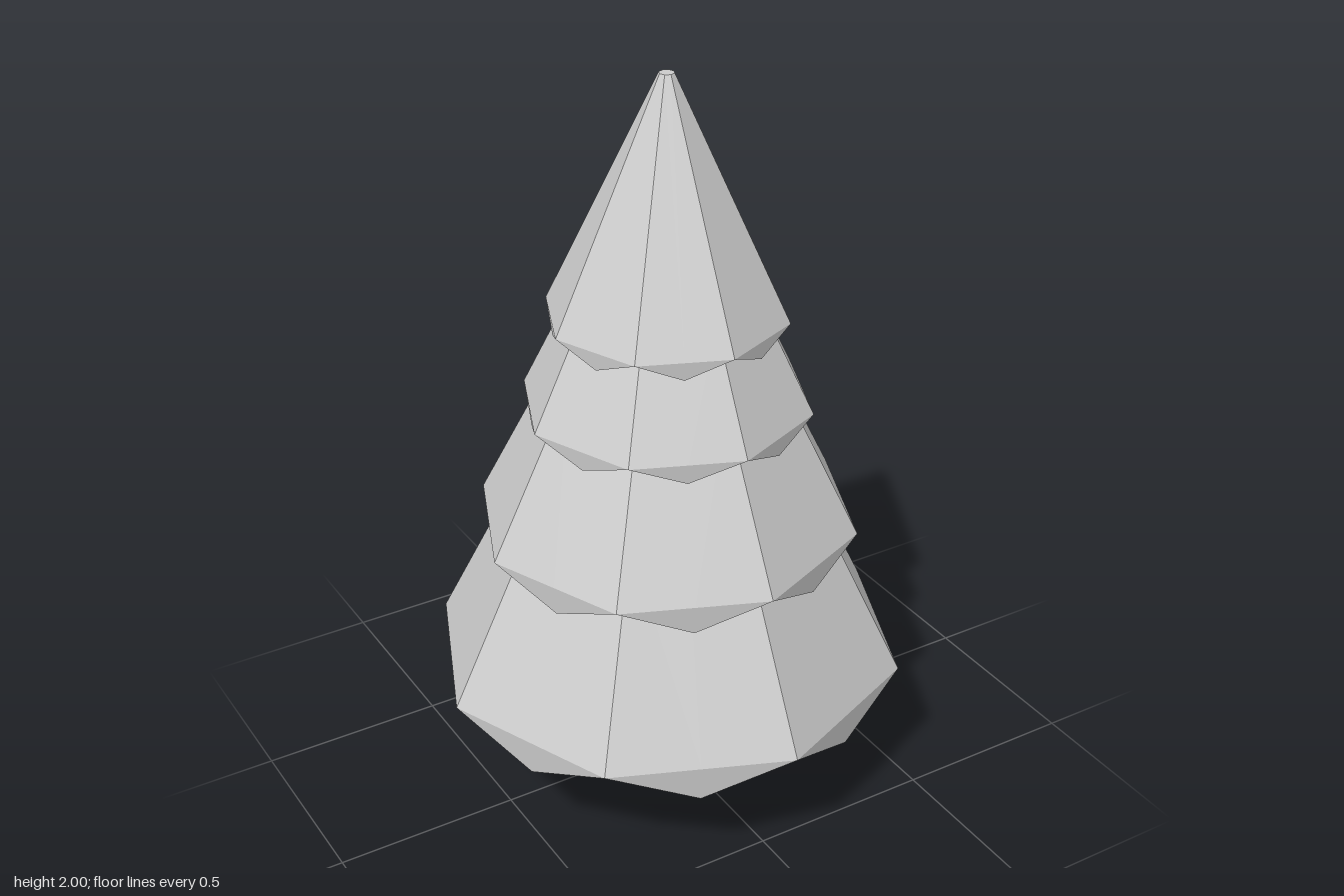
import * as THREE from 'three';

const SIDES = 8;
const FLAT = Math.cos(Math.PI / SIDES); // mid-side radius of an octagon

// Ring of 16 points: octagon corners alternate with side midpoints
function ring(r, y, midR = r * FLAT, midY = y) {
  return Array.from({ length: SIDES * 2 }, (_, i) => {
    const a = (i * Math.PI) / SIDES;
    const [rad, h] = i % 2 ? [midR, midY] : [r, y];
    return new THREE.Vector3(Math.sin(a) * rad, h, Math.cos(a) * rad);
  });
}

// Skin consecutive rings (each one below / inside the previous) with flat facets
function loft(rings) {
  const pts = [];
  const tri = new THREE.Triangle();
  const add = (a, b, c) => {
    if (tri.set(a, b, c).getArea() > 1e-7) pts.push(a, b, c);
  };
  for (let k = 0; k < rings.length - 1; k++) {
    const up = rings[k], low = rings[k + 1], n = up.length;
    for (let i = 0; i < n; i++) {
      const j = (i + 1) % n;
      // the diagonal always starts at a corner so the hem points stay symmetric
      if (i % 2) {
        add(up[i], low[i], up[j]);
        add(up[j], low[i], low[j]);
      } else {
        add(up[i], low[i], low[j]);
        add(up[i], low[j], up[j]);
      }
    }
  }
  const geo = new THREE.BufferGeometry().setFromPoints(pts);
  geo.computeVertexNormals();
  return geo;
}

// Tiers from bottom to top: corner radius/height, hem point drop, rim thickness, top ring
const TIERS = [
  { r: 0.645, y: 0.37, drop: 0.1, rim: 0.05, topR: 0.38, topY: 0.9 },
  { r: 0.515, y: 0.78, drop: 0.08, rim: 0.04, topR: 0.285, topY: 1.23 },
  { r: 0.387, y: 1.12, drop: 0.055, rim: 0.03, topR: 0.235, topY: 1.43 },
  { r: 0.32, y: 1.37, drop: 0.05, rim: 0.025, topR: 0.02, topY: 2 },
];

export function createModel() {
  const tree = new THREE.Group();
  tree.name = 'pineTree';
  const mat = new THREE.MeshStandardMaterial({ color: 0xcccccc, flatShading: true, side: THREE.DoubleSide });
  const part = (name, geo) => {
    const mesh = new THREE.Mesh(geo, mat);
    mesh.name = name;
    tree.add(mesh);
    return mesh;
  };

  // Ten-sided trunk reaching into the lowest tier
  part('trunk', new THREE.CylinderGeometry(0.125, 0.125, 0.6, 10)).position.y = 0.3;

  // Hollow foliage skirts with a pointed hem folding inwards
  TIERS.forEach(({ r, y, drop, rim, topR, topY }, i) => {
    const inR = r - rim * 0.9, inY = y - rim * 0.5;
    const tipR = r * 0.912, tipY = y - drop;
    const rings = [
      ring(0, topY),
      ring(topR, topY),
      ring(r, y),
      ring(r, y, tipR, tipY),
      ring(inR, inY, tipR - rim * 1.1, tipY),
      ring(inR, inY),
    ];
    // Inner wall: a ceiling in the lowest tier, otherwise it meets the tier below
    if (i === 0) rings.push(ring(0.47, 0.58), ring(0, 0.6));
    else rings.push(ring(TIERS[i - 1].topR, TIERS[i - 1].topY));
    part('foliageTier' + (i + 1), loft(rings));
  });

  return tree;
}
